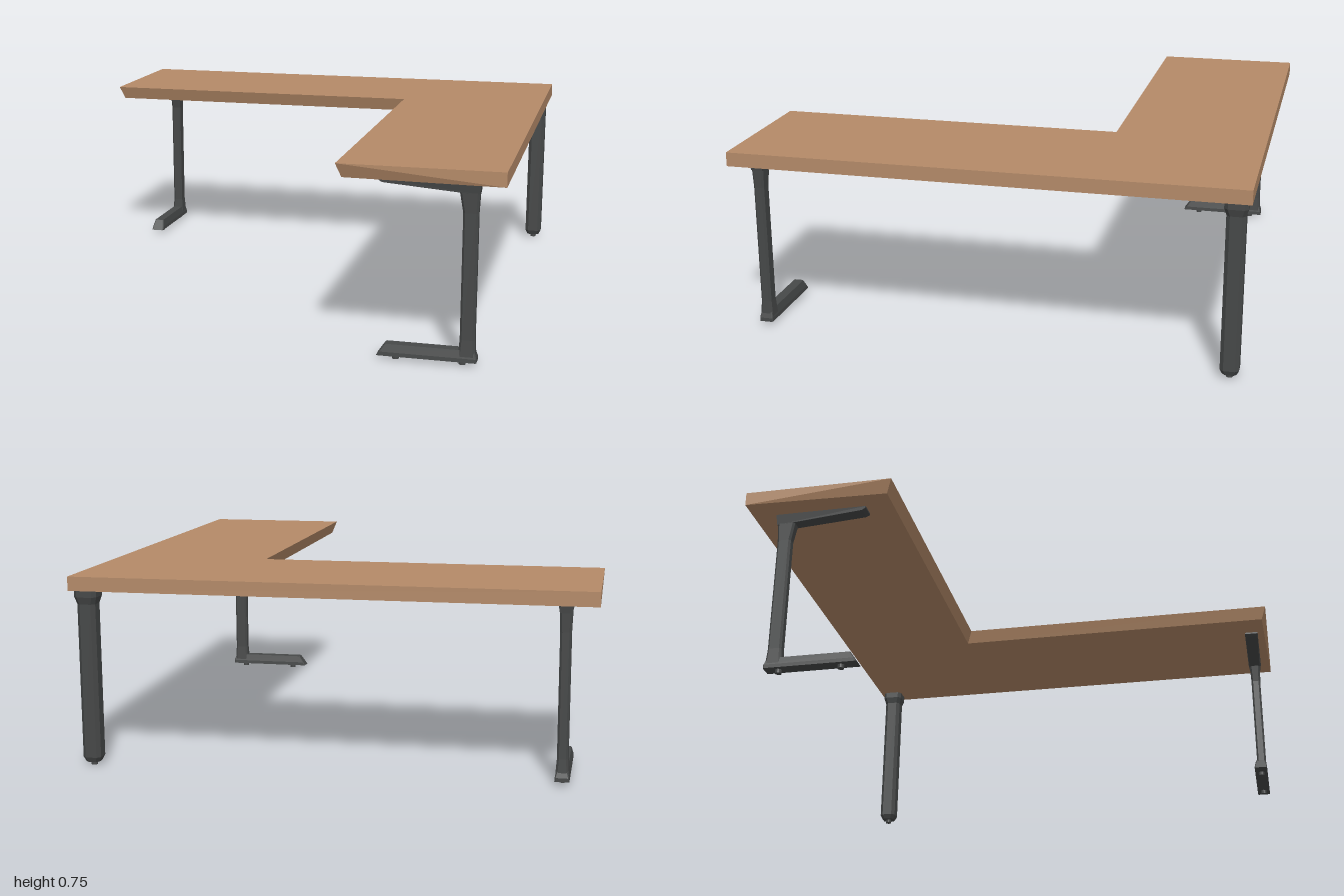
import * as THREE from 'three';

const wood = new THREE.MeshStandardMaterial({ color: 0xb48a68, flatShading: true });
const metal = new THREE.MeshStandardMaterial({ color: 0x464848, flatShading: true });

// Solid through stacked outlines of [x, z], counter-clockwise seen from above.
// flip(i) picks the other diagonal for side i.
function loft(levels, flip = () => false) {
  const pos = [];
  const n = levels[0].ring.length;
  const put = (l, i) => {
    const [x, z] = levels[l].ring[i % n];
    pos.push(x, levels[l].y, z);
  };
  for (let l = 0; l + 1 < levels.length; l++) {
    for (let i = 0; i < n; i++) {
      const a = [l, i], b = [l, i + 1], c = [l + 1, i + 1], d = [l + 1, i];
      const tris = flip(i) ? [a, b, d, b, c, d] : [a, b, c, a, c, d];
      tris.forEach((p) => put(...p));
    }
  }
  const caps = [[0, true], [levels.length - 1, false]];
  for (const [l, down] of caps) {
    const outline = levels[l].ring.map(([x, z]) => new THREE.Vector2(x, -z));
    for (const [a, b, c] of THREE.ShapeUtils.triangulateShape(outline, [])) {
      (down ? [a, c, b] : [a, b, c]).forEach((i) => put(l, i));
    }
  }
  const g = new THREE.BufferGeometry();
  g.setAttribute('position', new THREE.Float32BufferAttribute(pos, 3));
  g.computeVertexNormals();
  return g;
}

// One level: a rectangle x0..x1, z0..z1 with chamfered corners
function level(y, x0, x1, z0, z1, c) {
  return {
    y,
    ring: [
      [x0 + c, z1], [x1 - c, z1], [x1, z1 - c], [x1, z0 + c],
      [x1 - c, z0], [x0 + c, z0], [x0, z0 + c], [x0, z1 - c],
    ],
  };
}

function add(parent, name, geometry, material = metal) {
  const m = new THREE.Mesh(geometry, material);
  m.name = name;
  parent.add(m);
  return m;
}

function addPad(parent, x, z) {
  add(parent, 'levellingPad', new THREE.CylinderGeometry(0.013, 0.013, 0.018, 12)).position.set(x, 0.009, z);
}

// C-shaped leg: foot, column and tapered top arm, running along x
function cLeg(name) {
  const leg = new THREE.Group();
  leg.name = name;
  add(leg, 'foot', loft([
    level(0.015, 0.53, 0.905, -0.028, 0.028, 0.004),
    level(0.03, 0.54, 0.905, -0.027, 0.027, 0.004),
    level(0.06, 0.56, 0.895, -0.02, 0.02, 0.004),
  ]));
  add(leg, 'column', loft([
    level(0.03, 0.835, 0.9, -0.026, 0.026, 0.008),
    level(0.1, 0.84, 0.896, -0.021, 0.021, 0.008),
    level(0.58, 0.84, 0.896, -0.021, 0.021, 0.008),
    level(0.665, 0.825, 0.9, -0.024, 0.024, 0.008),
  ]));

  const side = new THREE.Shape([
    [0.53, 0.695], [0.53, 0.688], [0.545, 0.679], [0.825, 0.656], [0.9, 0.652], [0.905, 0.695],
  ].map((p) => new THREE.Vector2(...p)));
  const arm = new THREE.ExtrudeGeometry(side, { depth: 0.06, bevelEnabled: false });
  arm.translate(0, 0, -0.03);
  // narrow the arm towards its underside
  const p = arm.attributes.position;
  for (let i = 0; i < p.count; i++) {
    p.setZ(i, p.getZ(i) * (1 - 7 * Math.max(0, 0.685 - p.getY(i))));
  }
  arm.computeVertexNormals();
  add(leg, 'topArm', arm);

  for (const x of [0.6, 0.85]) addPad(leg, x, 0);
  return leg;
}

export function createModel() {
  const model = new THREE.Group();
  model.name = 'cornerDesk';

  // L-shaped top, undercut along the inner edges
  const top = [[-1, -1], [-1, -0.4], [0.38, -0.4], [0.38, 1], [1, 1], [1, -1]];
  const bottom = [[-1, -1], [-0.98, -0.42], [0.4, -0.42], [0.4, 0.98], [1, 1], [1, -1]];
  add(model, 'desktop', loft([{ y: 0.695, ring: bottom }, { y: 0.75, ring: top }], (i) => i === 3), wood);

  // Two end legs
  const frontLeg = cLeg('frontLeg');
  frontLeg.position.z = 0.925;
  const sideLeg = cLeg('sideLeg');
  sideLeg.rotation.y = Math.PI / 2;
  sideLeg.position.x = -0.875;
  model.add(frontLeg, sideLeg);

  // Corner leg with a flared head and tapered base
  const corner = new THREE.Group();
  corner.name = 'cornerLeg';
  const square = (y, r, c) => level(y, 0.942 - r, 0.942 + r, -0.942 - r, -0.942 + r, c);
  add(corner, 'column', loft([
    square(0.015, 0.027, 0.012), square(0.035, 0.036, 0.014),
    square(0.64, 0.036, 0.014), square(0.668, 0.044, 0.014), square(0.695, 0.044, 0.014),
  ]));
  addPad(corner, 0.942, -0.942);
  model.add(corner);

  return model;
}
